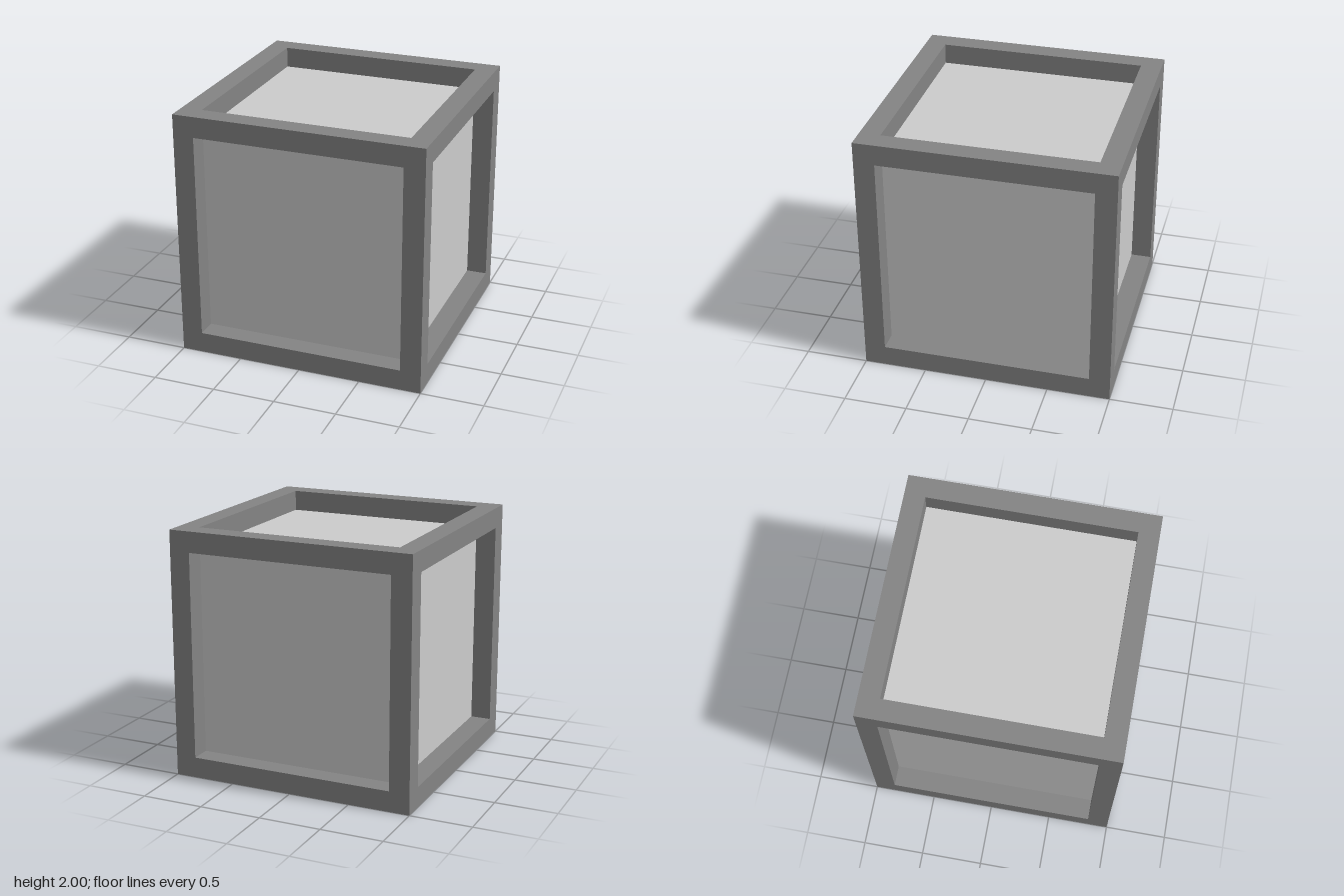
import * as THREE from 'three';
import { mergeGeometries } from 'three/addons/utils/BufferGeometryUtils.js';

const HALF = 1;              // half the outer size
const BEAM = 1 / 6;          // beam thickness and panel recess
const INNER = HALF - BEAM;   // half the opening

const square = (h, Type) =>
  new Type([[-h, -h], [h, -h], [h, h], [-h, h]].map(([x, y]) => new THREE.Vector2(x, y)));

// One side of the frame, facing +z: the square border and the four walls of its opening
function frameSide() {
  const border = square(HALF, THREE.Shape);
  border.holes.push(square(INNER, THREE.Path));
  const pieces = [new THREE.ShapeGeometry(border).translate(0, 0, HALF)];
  for (let i = 0; i < 4; i++) {
    pieces.push(new THREE.PlaneGeometry(BEAM, 2 * INNER)
      .rotateY(-Math.PI / 2)
      .translate(INNER, 0, HALF - BEAM / 2)
      .rotateZ(i * Math.PI / 2));
  }
  return mergeGeometries(pieces);
}

export function createModel() {
  const group = new THREE.Group();
  group.name = 'framedCube';

  // Frame: the same side turned to all six directions
  const sides = [];
  for (let i = 0; i < 4; i++) sides.push(frameSide().rotateY(i * Math.PI / 2));
  for (const s of [-1, 1]) sides.push(frameSide().rotateX(s * Math.PI / 2));
  const frame = new THREE.Mesh(mergeGeometries(sides),
    new THREE.MeshStandardMaterial({ color: 0x848484 }));
  frame.name = 'frame';

  // Recessed panels: a solid core that fills the frame
  const core = new THREE.Mesh(new THREE.BoxGeometry(2 * INNER, 2 * INNER, 2 * INNER),
    new THREE.MeshStandardMaterial({ color: 0xcccccc }));
  core.name = 'panels';

  frame.position.y = core.position.y = HALF;
  group.add(frame, core);
  return group;
}
